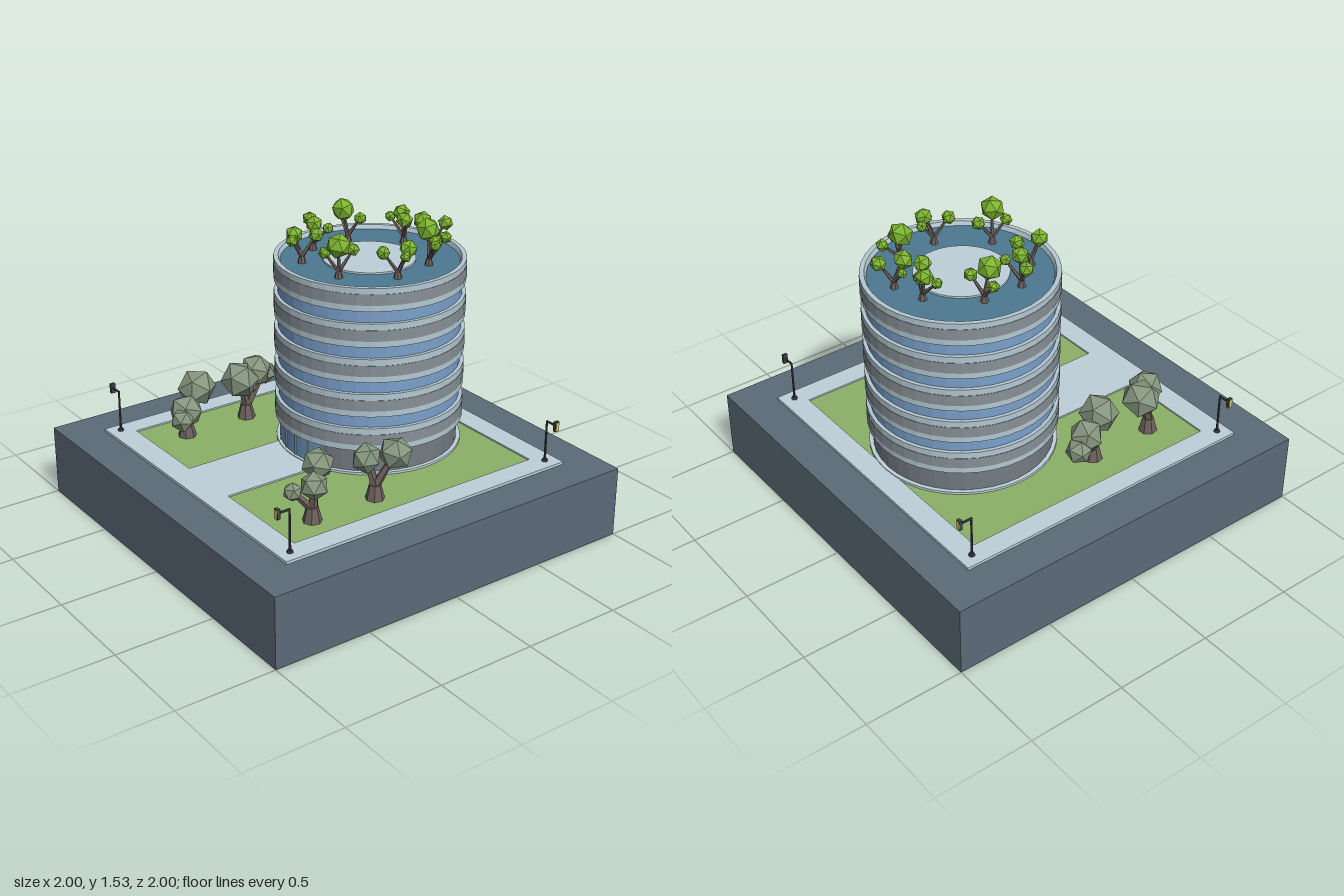
import * as THREE from 'three';

const mat = (color, flat = true) => new THREE.MeshStandardMaterial({ color, flatShading: flat });
const M = {
  base: mat(0x5c6b78), paving: mat(0xbdd0da), lawn: mat(0x8bb068), grey: mat(0x879197),
  pale: mat(0xb4c8d2), glass: mat(0x7aa0cb), roof: mat(0x4d7890), trunk: mat(0x6d5f5b),
  dullLeaf: mat(0x86967f), leaf: mat(0x7cb32f), metal: mat(0x3d444b), lamp: mat(0xd8d06a),
  door: mat(0x7199c4), wall: mat(0x737c82)
};
const SEG = 40;

function add(parent, name, geo, material, x = 0, y = 0, z = 0) {
  const m = new THREE.Mesh(geo, material);
  m.name = name;
  m.position.set(x, y, z);
  parent.add(m);
  return m;
}
const box = (w, h, d) => new THREE.BoxGeometry(w, h, d);
const cyl = (r0, r1, h, n = SEG) => new THREE.CylinderGeometry(r0, r1, h, n);

// Tapered stick between two points
function stick(parent, name, a, b, r0, r1, material, n = 6) {
  const dir = b.clone().sub(a);
  const m = add(parent, name, cyl(r1, r0, dir.length(), n), material);
  m.position.copy(a).addScaledVector(dir, 0.5);
  m.quaternion.setFromUnitVectors(new THREE.Vector3(0, 1, 0), dir.normalize());
}

// Tree: flared trunk, one branch per leaf ball; balls are [x, y, z, radius]
function tree(parent, name, x, y, z, r, balls, leafMat) {
  const g = new THREE.Group();
  g.name = name;
  parent.add(g);
  const foot = new THREE.Vector3(x, y, z);
  const fork = foot.clone().setY(y + r * 1.6);
  stick(g, 'trunk', foot, fork, r, r * 0.6, M.trunk, 7);
  balls.forEach(([bx, by, bz, br], i) => {
    const c = new THREE.Vector3(bx, by, bz);
    stick(g, 'branch', fork.clone().setY(fork.y - r * 0.2), c, r * 0.5, r * 0.25, M.trunk, 5);
    const b = add(g, 'foliage', new THREE.IcosahedronGeometry(br * 1.05, 0), leafMat, bx, by, bz);
    b.rotation.set(i * 1.3 + x * 5, i * 2.1 + z * 7, i * 0.7);
    b.scale.y = 0.95;
  });
}

function buildGround(root) {
  add(root, 'base', box(2, 0.36, 2), M.base, 0, 0.18, 0);
  // Paving with a lawn recess that leaves the entrance path standing
  const s = new THREE.Shape([[-0.81, -0.81], [0.81, -0.81], [0.81, 0.815], [-0.81, 0.815]]
    .map(p => new THREE.Vector2(...p)));
  const lawn = [[-0.7, -0.69], [-0.19, -0.69], [-0.19, 0.2], [0.155, 0.2],
    [0.155, -0.69], [0.695, -0.69], [0.695, 0.7], [-0.7, 0.7]].map(p => new THREE.Vector2(...p));
  s.holes.push(new THREE.Path(lawn));
  const flat = (shape, depth) => new THREE.ExtrudeGeometry(shape, { depth, bevelEnabled: false })
    .rotateX(-Math.PI / 2);
  add(root, 'paving', flat(s, 0.014), M.paving, 0, 0.36, 0);
  add(root, 'lawn', flat(new THREE.Shape(lawn), 0.006), M.lawn, 0, 0.36, 0);
}

function buildTower(root) {
  const g = new THREE.Group();
  g.name = 'tower';
  g.position.set(-0.008, 0, -0.25);
  root.add(g);
  add(g, 'plinth', cyl(0.46, 0.46, 0.017), M.paving, 0, 0.3695, 0);
  add(g, 'groundFloor', cyl(0.44, 0.44, 0.14), M.wall, 0, 0.435, 0);
  add(g, 'glassCore', cyl(0.447, 0.447, 0.75), M.glass, 0, 0.885, 0);

  // Entrance glazing following the curved wall, with mullions
  const a = 0.41;
  add(g, 'entranceGlass', new THREE.CylinderGeometry(0.444, 0.444, 0.12, 8, 1, true, -a, 2 * a),
    M.door, 0, 0.437, 0);
  for (const t of [-a, -0.2, 0, 0.2, a]) {
    const m = add(g, 'mullion', box(0.008, 0.12, 0.01), M.pale,
      Math.sin(t) * 0.444, 0.437, Math.cos(t) * 0.444);
    m.rotation.y = t;
  }

  // Five floor bands: pale rims above and below a grey parapet
  for (let i = 0; i < 5; i++) {
    const y = 0.497 + i * 0.1775, top = i === 4;
    const ring = (name, y0, y1, r, m) => add(g, name, new THREE.LatheGeometry(
      [[0.43, y0], [r, y0], [r, y1], [0.442, y1], [0.43, y0]].map(p => new THREE.Vector2(...p)), SEG),
      m, 0, y, 0);
    ring('lowerRim', 0, 0.03, 0.465, M.pale);
    ring('parapet', 0.03, 0.085, 0.467, M.grey);
    ring('upperRim', 0.085, top ? 0.114 : 0.117, 0.465, M.pale);
  }
  add(g, 'roof', cyl(0.443, 0.443, 0.04), M.roof, 0, 1.28, 0);
  add(g, 'roofTerrace', cyl(0.225, 0.225, 0.01), M.paving, 0, 1.304, 0.005);
}

function buildLamps(root) {
  // Post position and the heading of its arm
  for (const [x, z, turn] of [[0.75, -0.75, 0], [-0.75, -0.75, 1], [-0.75, 0.75, 2], [0.75, 0.75, 3]]) {
    const g = new THREE.Group();
    g.name = 'streetLamp';
    g.position.set(x, 0.374, z);
    g.rotation.y = turn * Math.PI / 2;
    root.add(g);
    add(g, 'foot', cyl(0.012, 0.016, 0.012, 8), M.metal, 0, 0.006, 0);
    add(g, 'post', cyl(0.005, 0.006, 0.215, 8), M.metal, 0, 0.1075, 0);
    add(g, 'arm', box(0.065, 0.008, 0.008), M.metal, 0.03, 0.212, 0);
    add(g, 'lampHead', box(0.016, 0.05, 0.024), M.metal, 0.064, 0.21, 0);
    add(g, 'lampGlass', box(0.004, 0.042, 0.018), M.lamp, 0.073, 0.21, 0);
  }
}

export function createModel() {
  const root = new THREE.Group();
  root.name = 'towerOnPlaza';
  buildGround(root);
  buildTower(root);
  buildLamps(root);

  // Garden trees
  const garden = [
    [-0.53, 0.14, [[-0.62, 0.54, -0.03, 0.062], [-0.59, 0.58, 0.04, 0.085], [-0.505, 0.595, 0.19, 0.095]]],
    [-0.52, 0.5, [[-0.545, 0.6, 0.42, 0.095], [-0.43, 0.55, 0.555, 0.083], [-0.39, 0.53, 0.6, 0.06]]],
    [0.56, 0.14, [[0.62, 0.605, 0.07, 0.08], [0.53, 0.57, 0.17, 0.072], [0.455, 0.54, 0.11, 0.045]]],
    [0.565, 0.5, [[0.49, 0.6, 0.415, 0.077], [0.595, 0.56, 0.51, 0.065], [0.54, 0.53, 0.59, 0.045]]]
  ];
  for (const [x, z, balls] of garden) tree(root, 'gardenTree', x, 0.362, z, 0.048, balls, M.dullLeaf);

  // Roof trees: foot x, z, then leaf balls as x, z, radius (bigger balls sit higher)
  const roof = [
    [0.07, -0.565, [[0.1, -0.625, 0.037], [0.04, -0.53, 0.046], [-0.005, -0.57, 0.024], [0.085, -0.51, 0.027]]],
    [-0.09, -0.52, [[-0.03, -0.475, 0.042], [-0.13, -0.535, 0.042], [-0.175, -0.5, 0.027], [-0.075, -0.53, 0.025]]],
    [-0.27, -0.31, [[-0.275, -0.285, 0.058], [-0.215, -0.345, 0.032], [-0.35, -0.32, 0.028]]],
    [-0.27, -0.1, [[-0.34, -0.13, 0.036], [-0.24, -0.085, 0.042], [-0.2, -0.14, 0.028]]],
    [-0.15, 0.05, [[-0.17, 0.08, 0.042], [-0.145, 0.11, 0.03], [-0.125, -0.015, 0.036]]],
    [0.12, 0.03, [[0.145, 0.05, 0.058], [0.13, -0.045, 0.032], [0.085, 0.085, 0.03]]],
    [0.285, -0.19, [[0.255, -0.125, 0.034], [0.31, -0.23, 0.043], [0.275, -0.265, 0.027], [0.335, -0.195, 0.027]]],
    [0.23, -0.42, [[0.205, -0.43, 0.058], [0.275, -0.42, 0.033], [0.24, -0.51, 0.03], [0.3, -0.4, 0.026]]]
  ];
  for (const [x, z, balls] of roof)
    tree(root, 'roofTree', x, 1.3, z, 0.021,
      balls.map(([bx, bz, r]) => [bx, 1.375 + r * 1.6, bz, r]), M.leaf);
  return root;
}
